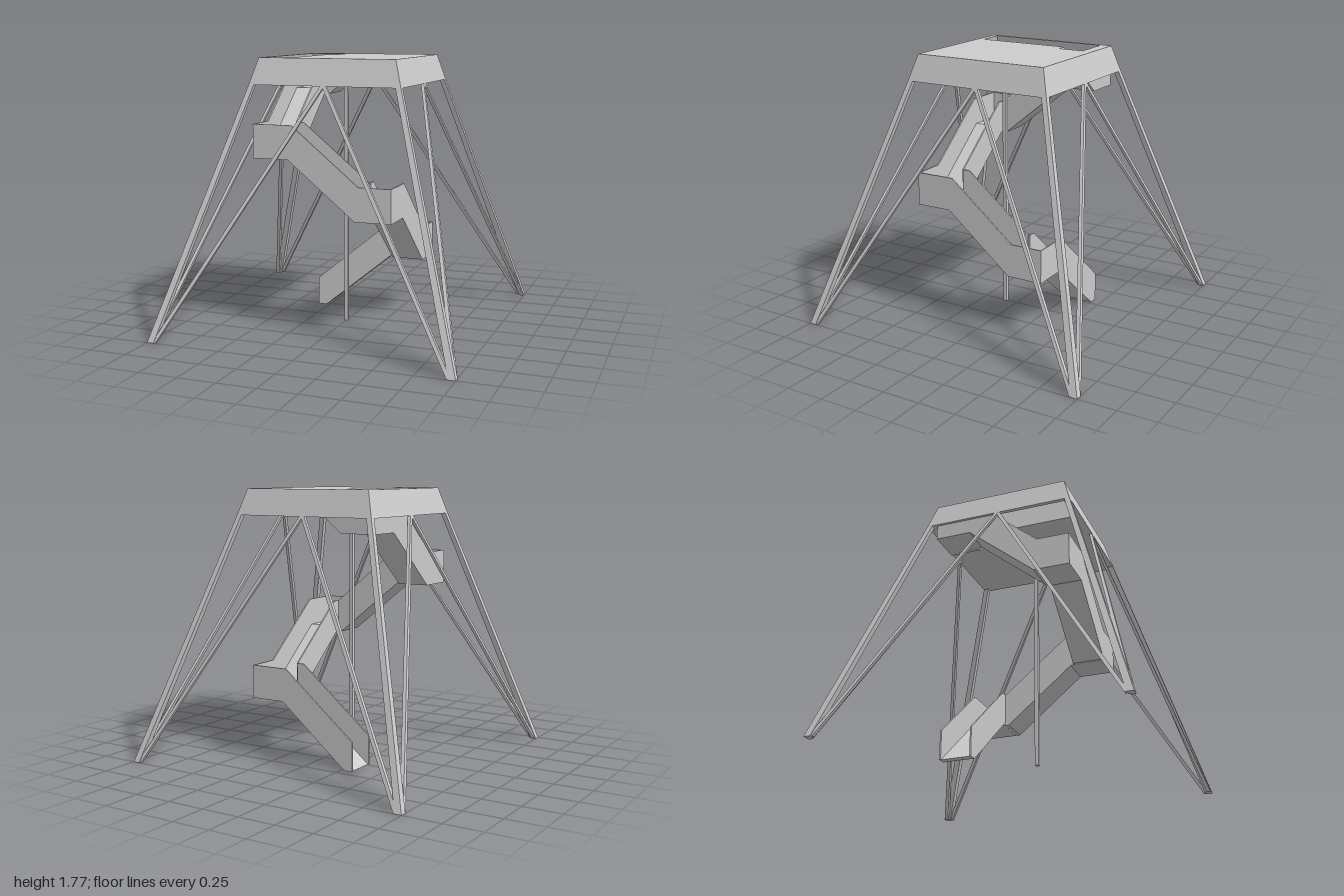
import * as THREE from 'three';

const material = new THREE.MeshStandardMaterial({ color: 0xcccccc, flatShading: true, side: THREE.DoubleSide });

const DECK_BOTTOM = 1.6, DECK_TOP = 1.77;

function addMesh(parent, geometry, name) {
  const mesh = new THREE.Mesh(geometry, material);
  mesh.name = name;
  parent.add(mesh);
  return mesh;
}

// Slanted bar with level ends; a and b are the centres of its bottom and top ends
function bar(a, b, bottomSize, topSize) {
  const geo = new THREE.BoxGeometry(1, 1, 1);
  const p = geo.attributes.position;
  for (let i = 0; i < p.count; i++) {
    const top = p.getY(i) > 0;
    const c = top ? b : a, s = top ? topSize : bottomSize;
    p.setXYZ(i, c[0] + p.getX(i) * s[0], c[1], c[2] + p.getZ(i) * s[1]);
  }
  geo.computeVertexNormals();
  return geo;
}

// Keep the part of a polygon where sign * (coordinate - limit) >= 0
function clip(points, axis, sign, limit) {
  const out = [];
  points.forEach((p, i) => {
    const q = points[(i + 1) % points.length];
    const dp = sign * (p[axis] - limit), dq = sign * (q[axis] - limit);
    if (dp >= 0) out.push(p);
    if (dp * dq < 0) {
      const t = dp / (dp - dq);
      out.push([p[0] + (q[0] - p[0]) * t, p[1] + (q[1] - p[1]) * t]);
    }
  });
  return out;
}

// Stair dimensions: outer and inner edges of the square spiral, rise per flight
const OUT = 0.465, IN = 0.25, RISE = 0.37, BEND = 0.225, WALL = 0.01;
const SLOPE = RISE / (2 * BEND);

// Side outline of one flight with its landings, h high
function flightProfile(y, h, from, to, first) {
  const edge = (dy) => {
    const shift = dy * 0.11;
    const startY = first ? y + dy - SLOPE * (OUT - BEND - shift) : y + dy;
    return [[-OUT, startY], [-BEND - shift, y + dy], [BEND - shift, y + dy + RISE], [OUT, y + dy + RISE]];
  };
  let pts = [...edge(0), ...edge(h).reverse()];
  pts = clip(pts, 0, 1, first ? -0.308 : from);
  pts = clip(pts, 0, -1, to);
  pts = clip(pts, 1, 1, 0);
  return clip(pts, 1, -1, DECK_BOTTOM);
}

function extrudeProfile(points, z0, z1) {
  const shape = new THREE.Shape(points.map(([x, y]) => new THREE.Vector2(x, y)));
  const geo = new THREE.ExtrudeGeometry(shape, { depth: z1 - z0, bevelEnabled: false });
  return geo.translate(0, 0, z0);
}

// Tapered deck with an L-shaped stair opening
function deckGeometry() {
  const toShape = (Type, pts) => new Type(pts.map(([x, z]) => new THREE.Vector2(x, -z)));
  const s = 0.455;
  const outline = toShape(THREE.Shape, [[-s, s], [s, s], [s, -s], [-s, -s]]);
  outline.holes.push(toShape(THREE.Path, [
    [-0.43, -0.385], [-0.18, -0.385], [-0.18, -0.21], [-0.25, -0.21], [-0.25, 0.415], [-0.43, 0.415],
  ]));
  const geo = new THREE.ExtrudeGeometry(outline, { depth: DECK_TOP - DECK_BOTTOM, bevelEnabled: false });
  geo.rotateX(-Math.PI / 2);
  const p = geo.attributes.position;
  for (let i = 0; i < p.count; i++) {
    const k = p.getY(i) < 0.01 ? 1.11 : 1;
    p.setXYZ(i, p.getX(i) * k, p.getY(i) + DECK_BOTTOM, p.getZ(i) * k);
  }
  geo.computeVertexNormals();
  return geo;
}

export function createModel() {
  const model = new THREE.Group();
  model.name = 'lookoutTower';

  addMesh(model, deckGeometry(), 'deck');

  // Four splayed legs, with two braces on each side of the tower
  const frame = new THREE.Group();
  frame.name = 'legFrame';
  model.add(frame);
  for (let i = 0; i < 4; i++) {
    const side = new THREE.Group();
    side.name = 'frameSide';
    side.rotation.y = i * Math.PI / 2;
    frame.add(side);
    addMesh(side, bar([0.9775, 0, 0.9775], [0.4875, DECK_BOTTOM, 0.4875], [0.045, 0.045], [0.035, 0.035]), 'leg');
    for (const s of [-1, 1]) {
      addMesh(side, bar([s * 0.957, 0, 0.983], [s * 0.006, DECK_BOTTOM, 0.494], [0.027, 0.025], [0.027, 0.02]), 'brace');
    }
  }

  // Single upright pole under the deck
  addMesh(model, bar([0, 0, 0.09], [0, DECK_BOTTOM, 0.09], [0.026, 0.026], [0.026, 0.026]), 'pole');

  // Square spiral of ramped flights, each turned a quarter from the last
  const stairs = new THREE.Group();
  stairs.name = 'stairs';
  stairs.position.set(-0.0225, 0, 0.025);
  model.add(stairs);
  for (let k = 0; k < 5; k++) {
    const y = 0.02 + RISE * k, first = k === 0;
    const flight = new THREE.Group();
    flight.name = 'flight';
    flight.rotation.y = -k * Math.PI / 2;
    stairs.add(flight);
    addMesh(flight, extrudeProfile(flightProfile(y, 0.04, -IN, OUT - 0.001, first), -OUT + 0.001, -IN - 0.001), 'flightFloor');
    addMesh(flight, extrudeProfile(flightProfile(y, 0.22, -OUT, OUT, first), -OUT, -OUT + WALL), 'outerParapet');
    addMesh(flight, extrudeProfile(flightProfile(y, 0.22, -IN, IN, first), -IN - WALL, -IN), 'innerParapet');
  }

  return model;
}
